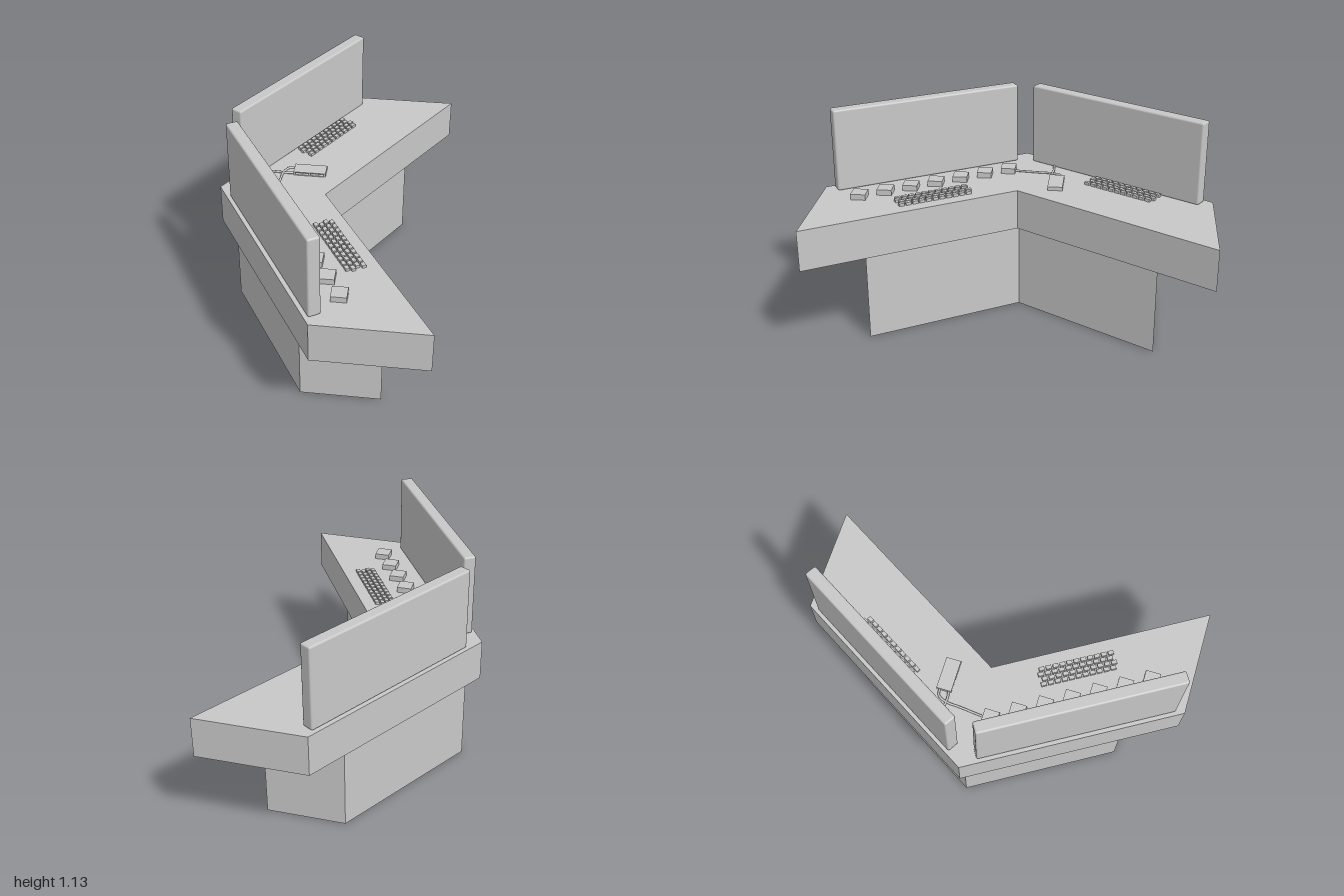
import * as THREE from 'three';
import { RoundedBoxGeometry } from 'three/addons/geometries/RoundedBoxGeometry.js';

const DESK_TOP = 0.7;
const ARM_ANGLE = 1.03; // turn of each arm away from the x axis

export function createModel() {
  const model = new THREE.Group();
  model.name = 'cornerWorkstation';
  const grey = new THREE.MeshStandardMaterial({ color: 0xc8c8c8 });
  grey.name = 'plainGrey';

  function add(parent, name, geometry, x = 0, y = 0, z = 0) {
    const mesh = new THREE.Mesh(geometry, grey);
    mesh.name = name;
    mesh.position.set(x, y, z);
    parent.add(mesh);
    return mesh;
  }

  // V-shaped slab: outer corner, outer end, inner end, inner corner
  function chevron(outer, outerEnd, innerEnd, inner, halfZ, height) {
    const points = [
      [outer, 0], [outerEnd, -halfZ], [innerEnd, -halfZ],
      [inner, 0], [innerEnd, halfZ], [outerEnd, halfZ],
    ].map(([x, y]) => new THREE.Vector2(x, y));
    const geometry = new THREE.ExtrudeGeometry(new THREE.Shape(points), { depth: height, bevelEnabled: false });
    return geometry.rotateX(-Math.PI / 2);
  }

  add(model, 'pedestal', chevron(-0.505, -0.065, 0.34, -0.105, 0.73, 0.485));
  add(model, 'desktop', chevron(-0.58, 0.02, 0.58, -0.03, 1, DESK_TOP - 0.485), 0, 0.485, 0);

  // One screen panel and one keyboard per arm
  const keyGeometry = new THREE.BoxGeometry(0.028, 0.015, 0.02);
  for (const side of [1, -1]) {
    const label = side > 0 ? 'front' : 'back';
    const screen = add(model, label + 'Screen', new RoundedBoxGeometry(1.03, 0.435, 0.064, 2, 0.01),
      -0.2225, DESK_TOP + 0.2175, side * 0.4975);
    screen.rotation.y = -side * ARM_ANGLE;

    const keyboard = new THREE.Group();
    keyboard.name = label + 'Keyboard';
    keyboard.position.set(side > 0 ? 0.09 : -0.09, DESK_TOP + 0.0075, side > 0 ? 0.42 : -0.54);
    keyboard.rotation.y = -side * ARM_ANGLE;
    for (let row = 0; row < 4; row++) {
      const stagger = [0.006, -0.006, 0.008, -0.004][row];
      for (let col = 0; col < 11; col++) {
        add(keyboard, 'key', keyGeometry, (col - 5) * 0.0365 + stagger, 0, (row - 1.5) * 0.027);
      }
    }
    model.add(keyboard);
  }

  // Row of small boxes along the front screen
  const boxGeometry = new THREE.BoxGeometry(0.077, 0.03, 0.077);
  for (let i = 0; i < 7; i++) {
    add(model, 'deskBox', boxGeometry, -0.295 + i * 0.072, DESK_TOP + 0.015, 0.075 + i * 0.12);
  }

  // Cable hub: solid back with a face plate of four sockets
  const hub = new THREE.Group();
  hub.name = 'cableHub';
  hub.position.set(-0.135, DESK_TOP, -0.193);
  add(hub, 'hubBody', new THREE.BoxGeometry(0.17, 0.02, 0.058), 0, 0.01, -0.01);
  const face = new THREE.Shape();
  face.moveTo(-0.085, 0).lineTo(0.085, 0).lineTo(0.085, 0.02).lineTo(-0.085, 0.02).closePath();
  for (let i = 0; i < 4; i++) {
    const x = (i - 1.5) * 0.04;
    const hole = new THREE.Path();
    hole.moveTo(x - 0.014, 0.004).lineTo(x - 0.014, 0.016).lineTo(x + 0.014, 0.016).lineTo(x + 0.014, 0.004).closePath();
    face.holes.push(hole);
  }
  add(hub, 'socketPlate', new THREE.ExtrudeGeometry(face, { depth: 0.02, bevelEnabled: false }), 0, 0, 0.019);
  model.add(hub);

  // Cables from the hub to the boxes and to the back screen
  function cable(name, points) {
    const curve = new THREE.CatmullRomCurve3(points.map(([x, z]) => new THREE.Vector3(x, DESK_TOP + 0.006, z)));
    add(model, name, new THREE.TubeGeometry(curve, 24, 0.006, 8, false));
  }
  cable('boxCable', [[-0.21, -0.215], [-0.25, -0.21], [-0.273, -0.17], [-0.282, -0.08], [-0.295, 0.045]]);
  cable('screenCable', [[-0.21, -0.17], [-0.25, -0.163], [-0.32, -0.168], [-0.4, -0.165]]);

  return model;
}
